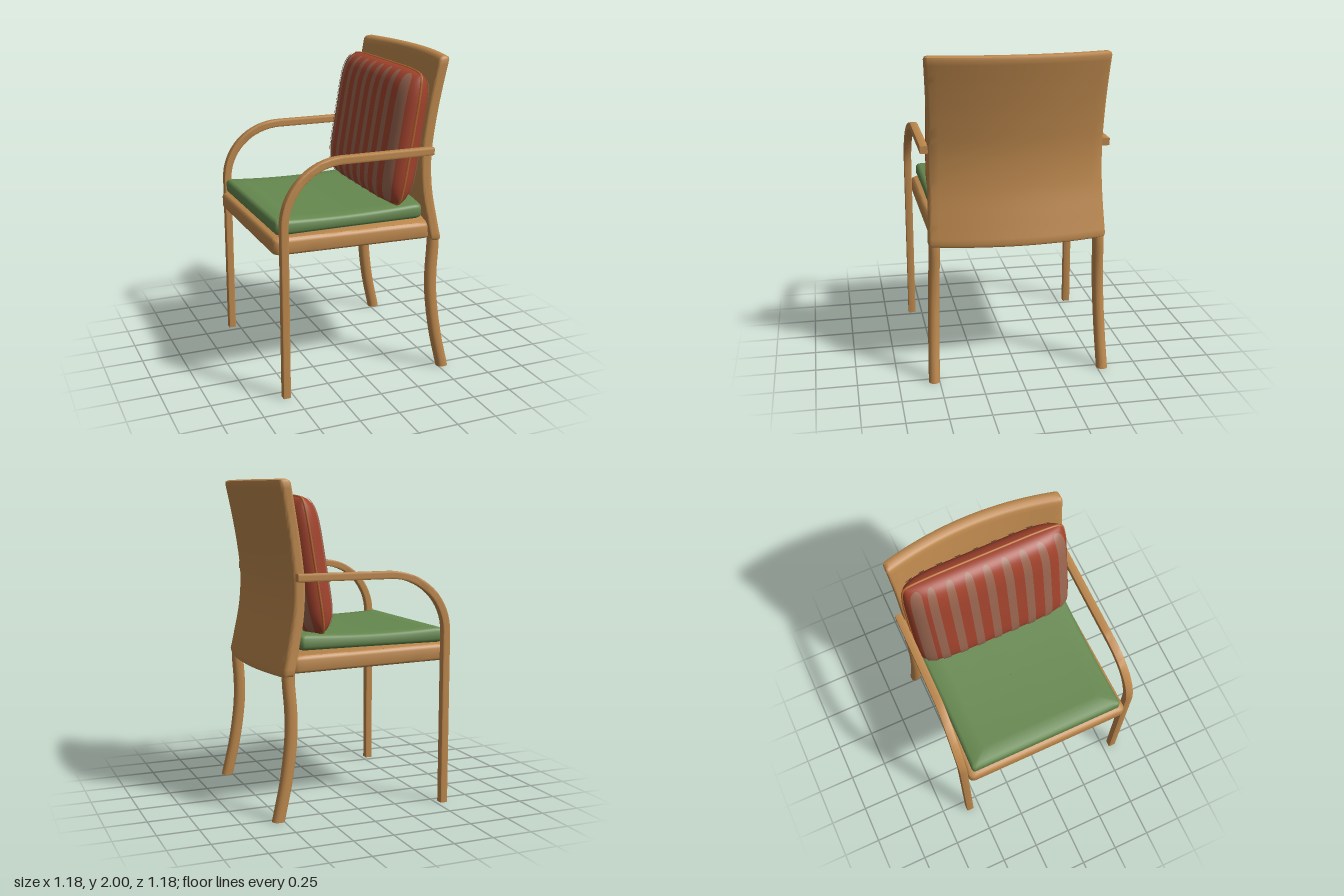
import * as THREE from 'three';
import { toCreasedNormals } from 'three/addons/utils/BufferGeometryUtils.js';
import { ParametricGeometry } from 'three/addons/geometries/ParametricGeometry.js';

const material = (name, color) => {
  const m = new THREE.MeshStandardMaterial({ color });
  m.name = name;
  return m;
};

// Rounded rectangle outline as [x, z] pairs; point j mirrors point N-1-j across x.
function outline(hx, hz, r, n = 1, m = 1) {
  const half = [];
  for (let k = 0; k < m; k++) half.push([(hx - r) * (k + 0.5) / m, hz]);
  for (let k = 0; k <= 4; k++) {
    const a = k * Math.PI / 8;
    half.push([hx - r + r * Math.sin(a), hz - r + r * Math.cos(a)]);
  }
  for (let k = 1; k < n; k++) half.push([hx, (hz - r) * (1 - 2 * k / n)]);
  for (let k = 4; k >= 0; k--) {
    const a = k * Math.PI / 8;
    half.push([hx - r + r * Math.sin(a), -(hz - r + r * Math.cos(a))]);
  }
  for (let k = m - 1; k >= 0; k--) half.push([(hx - r) * (k + 0.5) / m, -hz]);
  return [...half, ...half.slice().reverse().map(([x, z]) => [-x, z])];
}

// Skin over stacked rings of [x, y, z], with both ends closed.
function loft(rings, crease = 0.7) {
  const N = rings[0].length, index = [], top = (rings.length - 1) * N;
  for (let i = 0; i < rings.length - 1; i++) {
    for (let j = 0; j < N; j++) {
      const a = i * N + j, b = i * N + (j + 1) % N;
      index.push(a, b, b + N, a, b + N, a + N);
    }
  }
  for (let j = 0; j < N / 2 - 1; j++) {
    const p = j + 1, q = N - 2 - j, s = N - 1 - j;
    index.push(top + j, top + p, top + q, top + j, top + q, top + s);
    index.push(j, q, p, j, s, q);
  }
  const g = new THREE.BufferGeometry();
  g.setAttribute('position', new THREE.Float32BufferAttribute(rings.flat(2), 3));
  g.setIndex(index);
  return toCreasedNormals(g, crease);
}

// Smooth curve through [y, x] pairs, sampled as x at a given share of the length.
const spline = (pts) => new THREE.CatmullRomCurve3(pts.map(([y, x]) => new THREE.Vector3(x, y, 0)));

export function createModel() {
  const group = new THREE.Group();
  const wood = material('wood', 0xbd884d);
  const green = material('seat fabric', 0x66894f);
  const red = material('pillow red', 0xa2432d);
  const brown = material('pillow stripe', 0x9a6650);
  const orange = material('pillow piping', 0xb5652c);
  const add = (name, geometry, mat, parent = group) => {
    const mesh = new THREE.Mesh(geometry, mat);
    mesh.name = name;
    parent.add(mesh);
    return mesh;
  };

  // Backrest: S-curved in profile, bowed backwards across its width
  const backCurve = spline([[0.855, 0.457], [1, 0.425], [1.2, 0.387], [1.4, 0.378], [1.6, 0.4], [1.8, 0.435], [2, 0.477]]);
  const backRings = [];
  for (let i = 0; i <= 40; i++) {
    const t = i < 3 ? [0, 0.007, 0.02][i] : i > 37 ? [0.98, 0.993, 1][i - 38] : 0.02 + 0.96 * (i - 2) / 36;
    const inset = [0.022, 0.007, 0][Math.min(i, 40 - i, 2)];
    const p = backCurve.getPointAt(t);
    const hz = 0.53 + 0.055 * (p.y - 1.4) ** 2;
    backRings.push(outline(0.036 - inset, hz - inset, Math.max(0.02 - inset, 0.008), 24)
      .map(([x, z]) => [p.x + x + 0.075 * (1 - (z / 0.55) ** 2), p.y, z]));
  }
  add('backrest', loft(backRings), wood);

  // Seat frame: a slab sloping back, narrower at the rear
  const frameRings = [[0.9, 0.012], [0.906, 0.003], [0.915, 0], [0.975, 0], [0.99, 0.005], [1, 0.018]].map(([y, inset]) =>
    outline(0.515 - inset, 0.545 - inset, 0.04, 16, 6).map(([x, z]) => {
      const t = (x + 0.515) / 1.03;
      const bow = x > 0.4 ? 0.06 * (1 - (z / 0.55) ** 2) : 0;
      return [x - 0.085 + bow, y - 0.025 * t, z * (1 - 0.04 * t)];
    }));
  add('seatFrame', loft(frameRings), wood);

  // Seat cushion: dished from front to back
  const cushionRings = [[0, 0.02, 1], [0.1, 0.006, 1], [0.25, 0, 1], [0.75, 0, 1], [0.9, 0.006, 1], [1, 0.022, 1],
    [1, 0.022, 0.8], [1, 0.022, 0.55], [1, 0.022, 0.3], [1, 0.022, 0.08]].map(([h, inset, s]) =>
    outline(0.4725 - inset, 0.51 - inset, 0.022, 16, 8).map(([x0, z0]) => {
      const x = x0 * s, z = z0 * s, u = x / 0.4725;
      const bow = 0.055 * (1 - (z / 0.51) ** 2) * Math.max(0, u) ** 4;
      const topY = 1.08 + 0.018 * u * u;
      return [x - 0.1025 + bow, 1.005 + (topY - 1.005) * h, z * (0.985 + 0.015 * u * u)];
    }));
  add('seatCushion', loft(cushionRings), green);

  // Rear legs, and front legs that bend into the armrests
  const legCurve = spline([[0, 0.53], [0.25, 0.475], [0.5, 0.443], [0.65, 0.441], [0.86, 0.453], [0.95, 0.44]]);
  const armPath = [[-0.548, 0], [-0.548, 0.55]];
  for (let k = 0; k <= 16; k++) {
    const a = k / 16 * Math.PI / 2;
    armPath.push([-0.18 - 0.368 * Math.cos(a), 1.08 + 0.358 * Math.sin(a)]);
  }
  armPath.push([0.412, 1.438]);
  for (const side of [1, -1]) {
    const label = side > 0 ? 'near' : 'far';
    const legRings = legCurve.getSpacedPoints(24).map((p) =>
      outline(0.038, 0.034, 0.032).map(([x, z]) =>
        [p.x + x, p.y, z + side * (0.532 - 0.027 * Math.min(1, p.y / 0.86))]));
    add(label + 'RearLeg', loft(legRings), wood);

    const armRings = armPath.map(([px, py], i) => {
      const a = THREE.MathUtils.clamp((i - 2) / 16, 0, 1) * Math.PI / 2;
      const cz = side * (0.567 - 0.017 * THREE.MathUtils.smoothstep(px, -0.548, -0.18));
      return outline(0.023, 0.024, 0.003).map(([n, z]) => [px + n * Math.cos(a), py - n * Math.sin(a), cz + z]);
    });
    add(label + 'FrontLegAndArmrest', loft(armRings), wood);
  }

  // Pillow leaning on the backrest
  const pillow = new THREE.Group();
  pillow.name = 'pillow';
  pillow.position.set(0.288, 1.497, 0);
  pillow.rotation.z = -0.165;
  group.add(pillow);
  const W = 0.52, H = 0.415;
  const surface = (side, u, v, target, lift = 0) => {
    const swell = Math.sqrt(Math.max(0, (1 - u ** 6) * (1 - v ** 6)));
    const grow = lift ? 1.008 : 1;
    return target.set(side * (0.122 * swell + lift),
      H * v * (1 - 0.05 * u ** 6) * grow, W * u * (1 - 0.05 * v ** 6) * grow);
  };
  const ease = (t) => Math.sin((t - 0.5) * Math.PI);
  const patch = (fn, nu, nv) => {
    const g = new ParametricGeometry(fn, nu, nv);
    g.computeVertexNormals();
    return g;
  };
  for (const side of [-1, 1]) {
    const face = side < 0 ? 'front' : 'back';
    add(face + 'PillowFace', patch((a, b, p) => surface(side, -side * ease(a), ease(b), p), 48, 48), red, pillow);

    // Round-ended stripes, with a wider one at each end
    for (let k = -4; k <= 4; k++) {
      const wide = Math.abs(k) === 4;
      const centre = wide ? Math.sign(k) * 0.455 : k * 0.117 - 0.015;
      const width = wide ? 0.034 : 0.026;
      const stripe = patch((a, b, p) => {
        const t = ease(b);
        const z = centre - side * (2 * a - 1) * width * Math.sqrt(Math.max(0, 1 - t ** 24));
        return surface(side, z / W, 0.965 * t, p, 0.005);
      }, 6, 40);
      add(face + 'PillowStripe', stripe, brown, pillow);
    }
  }

  // Piping around the pillow's edge
  const rim = [];
  for (let q = 0; q < 4; q++) {
    for (let k = 0; k < 8; k++) {
      const s = -0.97 + 1.94 * k / 7;
      const [u, v] = [[s, -1], [1, s], [-s, 1], [-1, -s]][q];
      rim.push(surface(1, u, v, new THREE.Vector3()));
    }
  }
  add('pillowPiping', new THREE.TubeGeometry(new THREE.CatmullRomCurve3(rim, true), 120, 0.008, 8, true), orange, pillow);

  return group;
}
